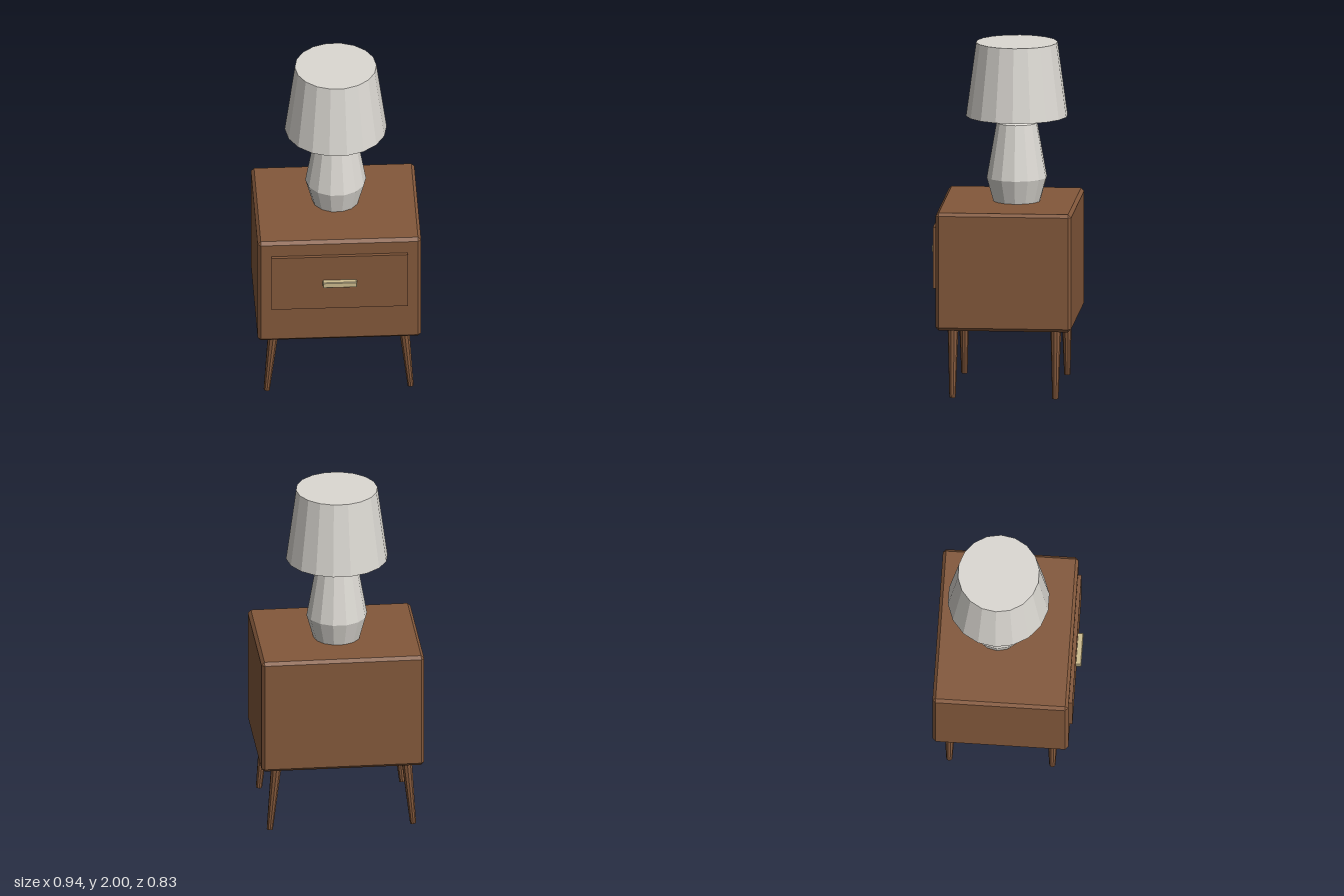
import * as THREE from 'three';
import { ConvexGeometry } from 'three/addons/geometries/ConvexGeometry.js';

const colour = (name, hex) => {
  const m = new THREE.MeshStandardMaterial({ color: hex });
  m.name = name;
  return m;
};

// Faceted normals for a low-poly surface
function faceted(geometry) {
  const g = geometry.index ? geometry.toNonIndexed() : geometry;
  g.computeVertexNormals();
  return g;
}

// Box with every edge and corner cut by a flat bevel b
function chamferBox(w, h, d, b) {
  const points = [];
  for (const x of [-w / 2, w / 2])
    for (const y of [-h / 2, h / 2])
      for (const z of [-d / 2, d / 2]) {
        const ix = x - Math.sign(x) * b, iy = y - Math.sign(y) * b, iz = z - Math.sign(z) * b;
        points.push(new THREE.Vector3(x, iy, iz), new THREE.Vector3(ix, y, iz), new THREE.Vector3(ix, iy, z));
      }
  return new ConvexGeometry(points);
}

export function createModel() {
  const wood = colour('walnut wood', 0x83583b);
  const brass = colour('pale brass', 0xcdbc8e);
  const ceramic = colour('off-white', 0xdcd9d3);

  const model = new THREE.Group();
  model.name = 'nightstandWithLamp';
  const add = (parent, name, geometry, material, x, y, z) => {
    const mesh = new THREE.Mesh(geometry, material);
    mesh.name = name;
    mesh.position.set(x, y, z);
    parent.add(mesh);
    return mesh;
  };

  // Cabinet, drawer front and handle
  const cabinetZ = -0.026;
  add(model, 'cabinet', chamferBox(0.936, 0.683, 0.778, 0.018), wood, 0, 0.738, cabinetZ);
  add(model, 'drawerFront', new THREE.BoxGeometry(0.78, 0.355, 0.04), wood, 0, 0.808, 0.363);
  add(model, 'drawerHandle', chamferBox(0.195, 0.036, 0.034, 0.004), brass, 0, 0.808, 0.397);

  // Tapered legs splayed sideways
  const legs = new THREE.Group();
  legs.name = 'legs';
  model.add(legs);
  const legGeometry = faceted(new THREE.CylinderGeometry(0.031, 0.018, 0.402, 10));
  for (const side of [-1, 1])
    for (const end of [-1, 1]) {
      const name = (end > 0 ? 'front' : 'back') + (side > 0 ? 'Left' : 'Right') + 'Leg';
      const leg = add(legs, name, legGeometry, wood, side * 0.393, 0.202, cabinetZ + 0.295 * end);
      leg.rotation.z = side * 0.094;
    }

  // Lamp: faceted vase base under a closed conical shade
  const lamp = new THREE.Group();
  lamp.name = 'lamp';
  lamp.position.z = -0.066;
  lamp.rotation.y = Math.PI / 2;
  model.add(lamp);
  const profile = [[0.135, 1.078], [0.174, 1.217], [0.118, 1.533], [0.055, 1.578]]
    .map(([r, y]) => new THREE.Vector2(r, y));
  add(lamp, 'lampBase', faceted(new THREE.LatheGeometry(profile, 14)), ceramic, 0, 0, 0);
  add(lamp, 'lampShade', faceted(new THREE.CylinderGeometry(0.234, 0.292, 0.426, 18)), ceramic, 0, 1.787, 0);

  return model;
}
